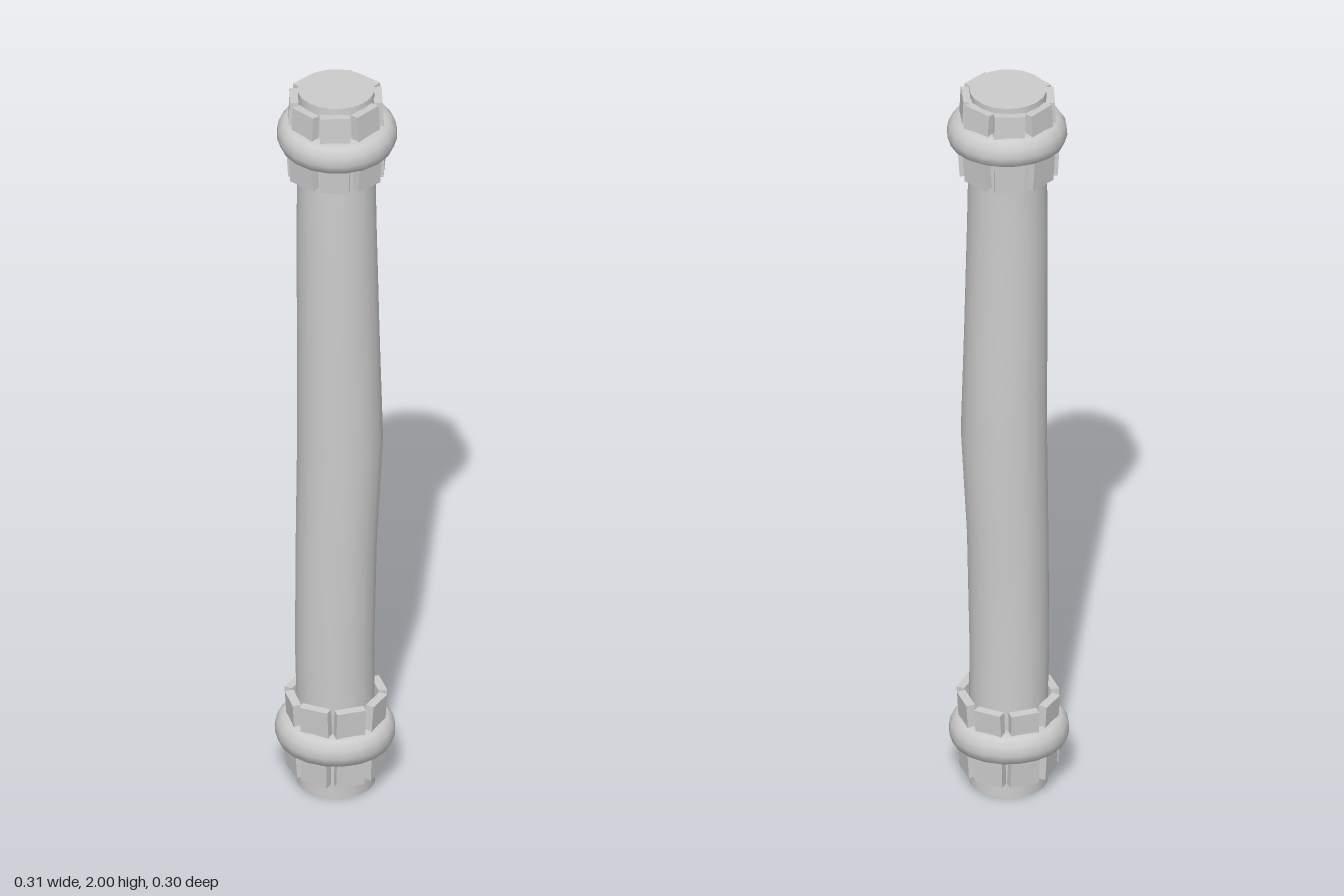
import * as THREE from 'three';

const material = new THREE.MeshStandardMaterial({ color: 0xcccccc });

function add(parent, geometry, name) {
  const mesh = new THREE.Mesh(geometry, material);
  mesh.name = name;
  parent.add(mesh);
  return mesh;
}

// Small repeatable wobble in -1..1
const wobble = (i) => Math.sin(i * 12.9898 + 4.1);

// Slightly crooked shaft: each row is y, centre x, centre z, radius
function shaftGeometry() {
  const rows = [
    [0, 0, 0, 0.098], [0.2, 0, 0.003, 0.098], [0.4, -0.002, 0.007, 0.1],
    [0.7, 0.002, 0.008, 0.102], [1.0, 0.011, 0.004, 0.108], [1.3, 0.007, 0.008, 0.104],
    [1.6, 0.003, 0.009, 0.101], [1.8, 0.002, 0.006, 0.098], [2, 0, -0.002, 0.096],
  ];
  const g = new THREE.CylinderGeometry(1, 1, 2, 20, rows.length - 1);
  const p = g.attributes.position;
  for (let i = 0; i < p.count; i++) {
    const k = Math.round((p.getY(i) + 1) / 2 * (rows.length - 1));
    const [y, cx, cz, r] = rows[k];
    p.setXYZ(i, cx + p.getX(i) * r, y, cz + p.getZ(i) * r);
  }
  g.computeVertexNormals();
  // Smooth the seam where the side wall meets itself
  const n = g.attributes.normal;
  for (let k = 0; k < rows.length; k++) {
    const a = k * 21, b = a + 20;
    const v = new THREE.Vector3().fromBufferAttribute(n, a)
      .add(new THREE.Vector3().fromBufferAttribute(n, b)).normalize();
    n.setXYZ(a, v.x, v.y, v.z);
    n.setXYZ(b, v.x, v.y, v.z);
  }
  return g;
}

// Thick rounded collar, centred on its own origin
function collarGeometry() {
  const profile = [
    [0.085, -0.044], [0.122, -0.042], [0.143, -0.03], [0.151, -0.006],
    [0.147, 0.018], [0.134, 0.036], [0.115, 0.042], [0.085, 0.038],
  ].map(([r, y]) => new THREE.Vector2(r, y));
  return new THREE.LatheGeometry(profile, 20);
}

// Ring of eight uneven plates standing against the shaft
function plateRing(parent, name, y, height, radius, startDegrees, lean, seed) {
  const ring = new THREE.Group();
  ring.name = name;
  for (let i = 0; i < 8; i++) {
    const w = wobble(seed + i);
    const holder = new THREE.Group();
    holder.rotation.y = THREE.MathUtils.degToRad(startDegrees + 45 * i);
    const plate = add(holder, new THREE.BoxGeometry(0.075 + 0.003 * w, height + 0.006 * w, 0.022), 'plate');
    plate.position.set(0, y + 0.003 * w, radius);
    plate.rotation.set(lean, 0.06 * w, 0.03 * wobble(seed + i * 3));
    ring.add(holder);
  }
  parent.add(ring);
}

export function createModel() {
  const model = new THREE.Group();
  model.name = 'column';
  add(model, shaftGeometry(), 'shaft');

  const lower = new THREE.Group();
  lower.name = 'lowerEnd';
  const lowerCollar = add(lower, collarGeometry(), 'lowerCollar');
  lowerCollar.position.set(-0.002, 0.153, 0);
  lowerCollar.rotation.set(0.03, 0.3, -0.02);
  plateRing(lower, 'lowerOuterPlates', 0.083, 0.074, 0.108, -18, 0.05, 1);
  plateRing(lower, 'lowerInnerPlates', 0.216, 0.088, 0.11, -18, 0.06, 11);

  const upper = new THREE.Group();
  upper.name = 'upperEnd';
  const upperCollar = add(upper, collarGeometry(), 'upperCollar');
  upperCollar.position.set(0.003, 1.88, 0.002);
  upperCollar.rotation.set(0.06, 0, -0.01);
  plateRing(upper, 'upperOuterPlates', 1.94, 0.08, 0.106, 8, -0.05, 21);
  plateRing(upper, 'upperInnerPlates', 1.815, 0.09, 0.112, 8, 0.06, 31);

  model.add(lower, upper);
  return model;
}
